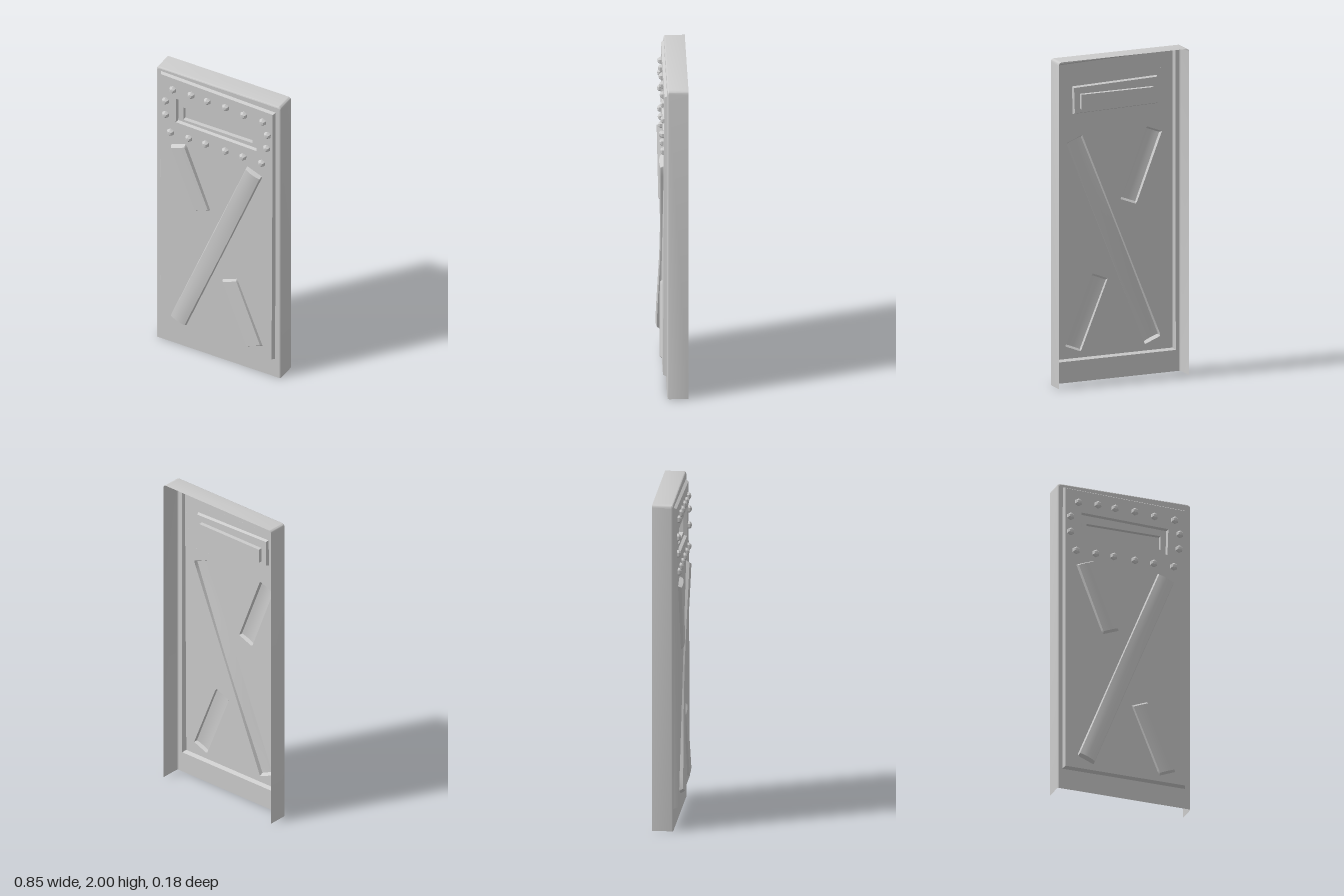
import * as THREE from 'three';
import { toCreasedNormals } from 'three/addons/utils/BufferGeometryUtils.js';

const material = new THREE.MeshStandardMaterial({ color: 0xcccccc, side: THREE.DoubleSide });

// Raised panel plane, leaning forward a little towards the bottom
const panelZ = (x, y) => 0.062 - 0.005 * y;

function addMesh(parent, name, geometry) {
  const mesh = new THREE.Mesh(geometry, material);
  mesh.name = name;
  parent.add(mesh);
  return mesh;
}

// Skin between rows of [x, y, z] points
function loft(rows, closed, crease = 0.5) {
  const n = rows[0].length;
  const index = [];
  for (let r = 0; r < rows.length - 1; r++) {
    for (let i = 0; i < (closed ? n : n - 1); i++) {
      const a = r * n + i, b = r * n + (i + 1) % n;
      index.push(a, b, b + n, a, b + n, a + n);
    }
  }
  const g = new THREE.BufferGeometry();
  g.setAttribute('position', new THREE.Float32BufferAttribute(rows.flat(2), 3));
  g.setIndex(index);
  return toCreasedNormals(g, crease);
}

// Thin sheet with holes; z comes from a function of x and y
function sheet(outline, holes, zAt) {
  const toPoints = (list) => list.map(([x, y]) => new THREE.Vector2(x, y));
  const shape = new THREE.Shape(toPoints(outline));
  for (const h of holes) shape.holes.push(new THREE.Path(toPoints(h)));
  const g = new THREE.ShapeGeometry(shape);
  const p = g.attributes.position;
  for (let i = 0; i < p.count; i++) p.setZ(i, zAt(p.getX(i), p.getY(i)));
  g.computeVertexNormals();
  return g;
}

const lift = (outline, zAt) => outline.map(([x, y]) => [x, y, zAt(x, y)]);

// Door outline, open at the floor, with small top corner rounds
function doorOutline(inset) {
  const w = 0.425 - inset, top = 2 - inset, r = 0.018;
  const pts = [[w, 0]];
  for (const [cx, start] of [[w - r, 0], [-w + r, Math.PI / 2]]) {
    for (let i = 0; i <= 4; i++) {
      const a = start + i * Math.PI / 8;
      pts.push([cx + r * Math.cos(a), top - r + r * Math.sin(a)]);
    }
  }
  pts.push([-w, 0]);
  return pts;
}

// Corners of a plank from one end centre to the other
function plankCorners({ from, to, width }) {
  const dx = to[0] - from[0], dy = to[1] - from[1], len = Math.hypot(dx, dy);
  const sx = -dy / len * width / 2, sy = dx / len * width / 2;
  return [[from[0] - sx, from[1] - sy], [to[0] - sx, to[1] - sy],
    [to[0] + sx, to[1] + sy], [from[0] + sx, from[1] + sy]];
}

// Hollow plank with chamfered edges, a crowned face and a warped length
function plankGeometry(plank) {
  const [a, b, c, d] = plankCorners(plank);
  const len = Math.hypot(plank.to[0] - plank.from[0], plank.to[1] - plank.from[1]);
  const across = [[0, 0], [0.05, 0.75], [0.25, 0.93], [0.5, 1], [0.75, 0.93], [0.95, 0.75], [1, 0]];
  const stops = [0, 0.012 / len];
  for (let i = 1; i < 16; i++) stops.push(i / 16);
  stops.push(1 - 0.012 / len, 1);
  const mix = THREE.MathUtils.lerp;
  const rows = stops.map((t, k) => across.map(([s, h]) => {
    const x = mix(mix(a[0], b[0], t), mix(d[0], c[0], t), s);
    const y = mix(mix(a[1], b[1], t), mix(d[1], c[1], t), s);
    const z = panelZ(x, y);
    const end = k === 0 || k === stops.length - 1;
    return [x, y, end ? z : z + h * (plank.height(t) - z)];
  }));
  return loft(rows, false, 0.6);
}

export function createModel() {
  const door = new THREE.Group();
  door.name = 'door';

  const panelBase = [[-0.395, 0.13], [0.388, 0.13], [0.392, 1.955], [-0.392, 1.977]];
  const panelFace = [[-0.385, 0.14], [0.378, 0.14], [0.381, 1.945], [-0.382, 1.967]];
  const windowRim = [[-0.282, 1.65], [0.27, 1.638], [0.276, 1.808], [-0.28, 1.823]];
  const windowFloor = [[-0.275, 1.657], [0.264, 1.645], [0.269, 1.801], [-0.273, 1.816]];
  const slot = [[-0.24, 1.672], [0.232, 1.672], [0.232, 1.762], [-0.24, 1.762]];

  const planks = [
    { name: 'longPlank', from: [-0.257, 0.2], to: [0.26, 1.483], width: 0.112,
      height: (t) => 0.078 + 0.011 * Math.cos(t * 5.5) * (1 - 0.6 * t) },
    { name: 'upperPlank', from: [-0.095, 1.065], to: [-0.262, 1.495], width: 0.11,
      height: (t) => 0.076 + 0.006 * t },
    { name: 'lowerPlank', from: [0.265, 0.197], to: [0.09, 0.628], width: 0.11,
      height: (t) => 0.08 - 0.008 * t },
  ];

  // Hollow casing: sides, top and bevelled front border
  const front = 0.036;
  const rim = doorOutline(0.008);
  addMesh(door, 'casing', loft([
    lift(doorOutline(0), () => -0.09),
    lift(doorOutline(0), () => 0.027),
    lift(doorOutline(0.003), () => 0.033),
    lift(rim, () => front),
  ], false));
  addMesh(door, 'frontBorder', sheet(rim, [panelBase], () => front));

  // Raised panel, cut out behind the planks and window
  addMesh(door, 'panelEdge', loft([lift(panelBase, () => front), lift(panelFace, panelZ)], true));
  addMesh(door, 'panel', sheet(panelFace, [windowRim, ...planks.map(plankCorners)], panelZ));

  // Stepped window recess
  const ledge = 0.036, deep = 0.01;
  const hatch = new THREE.Group();
  hatch.name = 'window';
  door.add(hatch);
  addMesh(hatch, 'windowEdge', loft([lift(windowRim, panelZ), lift(windowFloor, () => ledge)], true));
  addMesh(hatch, 'windowLedge', sheet(windowFloor, [slot], () => ledge));
  addMesh(hatch, 'slotWalls', loft([lift(slot, () => ledge), lift(slot, () => deep)], true));
  addMesh(hatch, 'slotBack', sheet(slot, [], () => deep));

  for (const p of planks) addMesh(door, p.name, plankGeometry(p));

  // Faceted rivets around the window
  const rivets = new THREE.Group();
  rivets.name = 'rivets';
  door.add(rivets);
  const profile = [[0.024, 0], [0.022, 0.012], [0.012, 0.021], [0, 0.023]];
  const rivet = toCreasedNormals(
    new THREE.LatheGeometry(profile.map(([r, y]) => new THREE.Vector2(r, y)), 6).rotateX(Math.PI / 2), 0.4);
  const spots = [
    [-0.3, 1.885], [-0.175, 1.89], [-0.065, 1.885], [0.06, 1.885], [0.185, 1.875], [0.315, 1.872],
    [-0.315, 1.567], [-0.19, 1.567], [-0.075, 1.567], [0.06, 1.565], [0.18, 1.565], [0.308, 1.565],
    [-0.35, 1.785], [-0.35, 1.685], [0.347, 1.785], [0.342, 1.687],
  ];
  for (const [x, y] of spots) {
    addMesh(rivets, 'rivet', rivet).position.set(x, y, panelZ(x, y));
  }

  // Centre the depth
  door.position.z = 0;
  return door;
}
